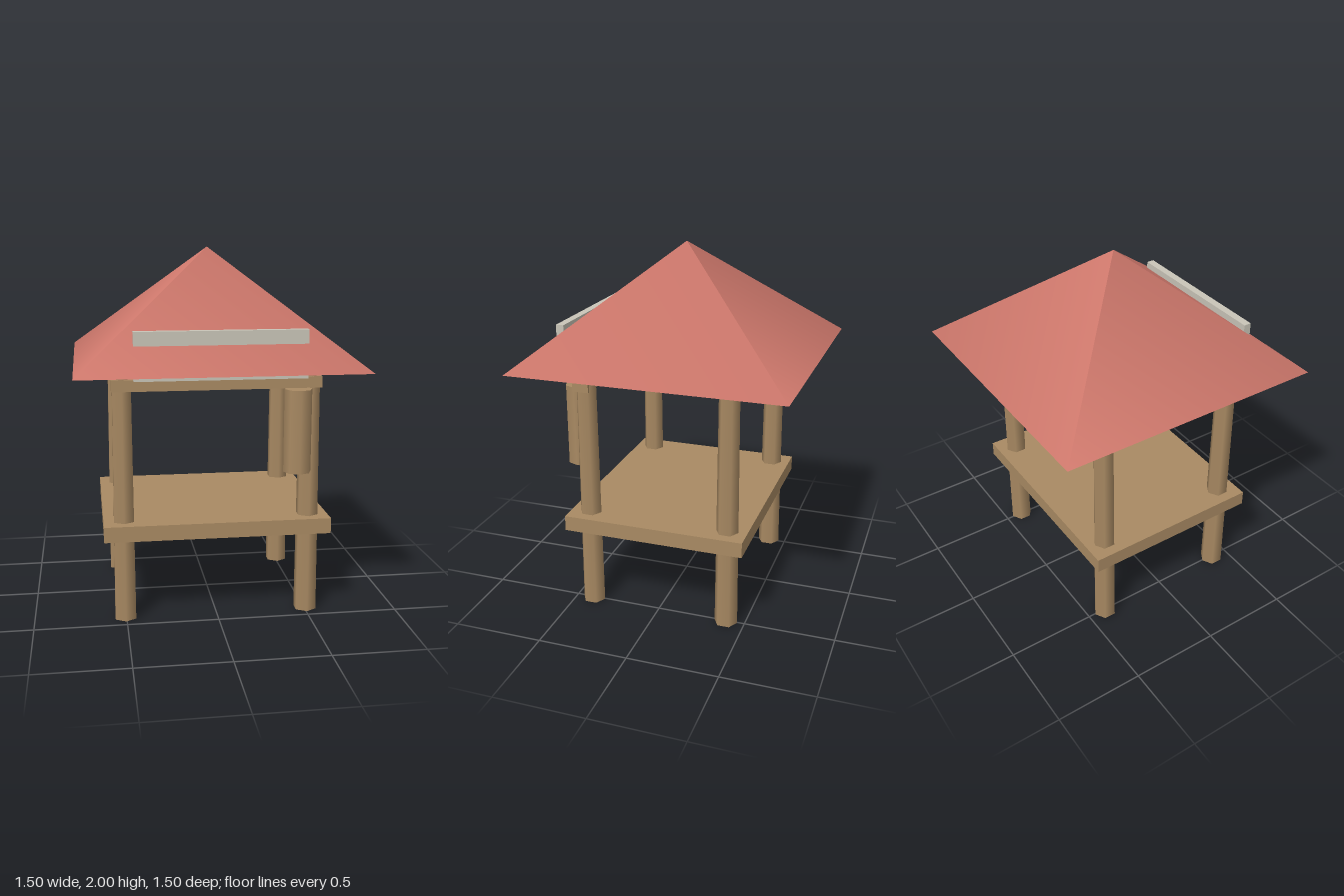
import * as THREE from 'three';

const wood = new THREE.MeshStandardMaterial({ color: 0xa98a63 });
wood.name = 'wood';
const roofRed = new THREE.MeshStandardMaterial({ color: 0xcb766a });
roofRed.name = 'roofRed';
const paleBoard = new THREE.MeshStandardMaterial({ color: 0xc9c5b8 });
paleBoard.name = 'paleBoard';

export function createModel() {
  const model = new THREE.Group();
  model.name = 'pavilion';

  const add = (name, geometry, material, x, y, z) => {
    const mesh = new THREE.Mesh(geometry, material);
    mesh.name = name;
    mesh.position.set(x, y, z);
    model.add(mesh);
    return mesh;
  };

  // Four tapered six-sided posts
  const postHeight = 1.39;
  const postGeometry = new THREE.CylinderGeometry(0.056, 0.065, postHeight, 6);
  for (const [sx, side] of [[1, 'Left'], [-1, 'Right']]) {
    for (const [sz, end] of [[1, 'front'], [-1, 'back']]) {
      add(`${end}${side}Post`, postGeometry, wood, sx * 0.505, postHeight / 2, sz * 0.395);
    }
  }

  // Raised floor
  add('floor', new THREE.BoxGeometry(1.23, 0.085, 1.01), wood, 0, 0.513, 0);

  // Beam across the front posts, with a hanging log beneath it
  add('frontBeam', new THREE.BoxGeometry(1.12, 0.062, 0.09), wood, 0, 1.3, 0.407);
  add('hangingLog', new THREE.CylinderGeometry(0.075, 0.075, 0.45, 8), wood, 0.425, 1.045, 0.475);

  // Four-sided roof, closed underneath
  const roof = add('roof', new THREE.ConeGeometry(0.752 * Math.SQRT2, 0.615, 4), roofRed, 0, 1.6925, 0);
  roof.rotation.y = Math.PI / 4;

  // Board set into the front slope of the roof
  add('signBoard', new THREE.BoxGeometry(0.9, 0.252, 0.043), paleBoard, 0, 1.469, 0.563);

  return model;
}
